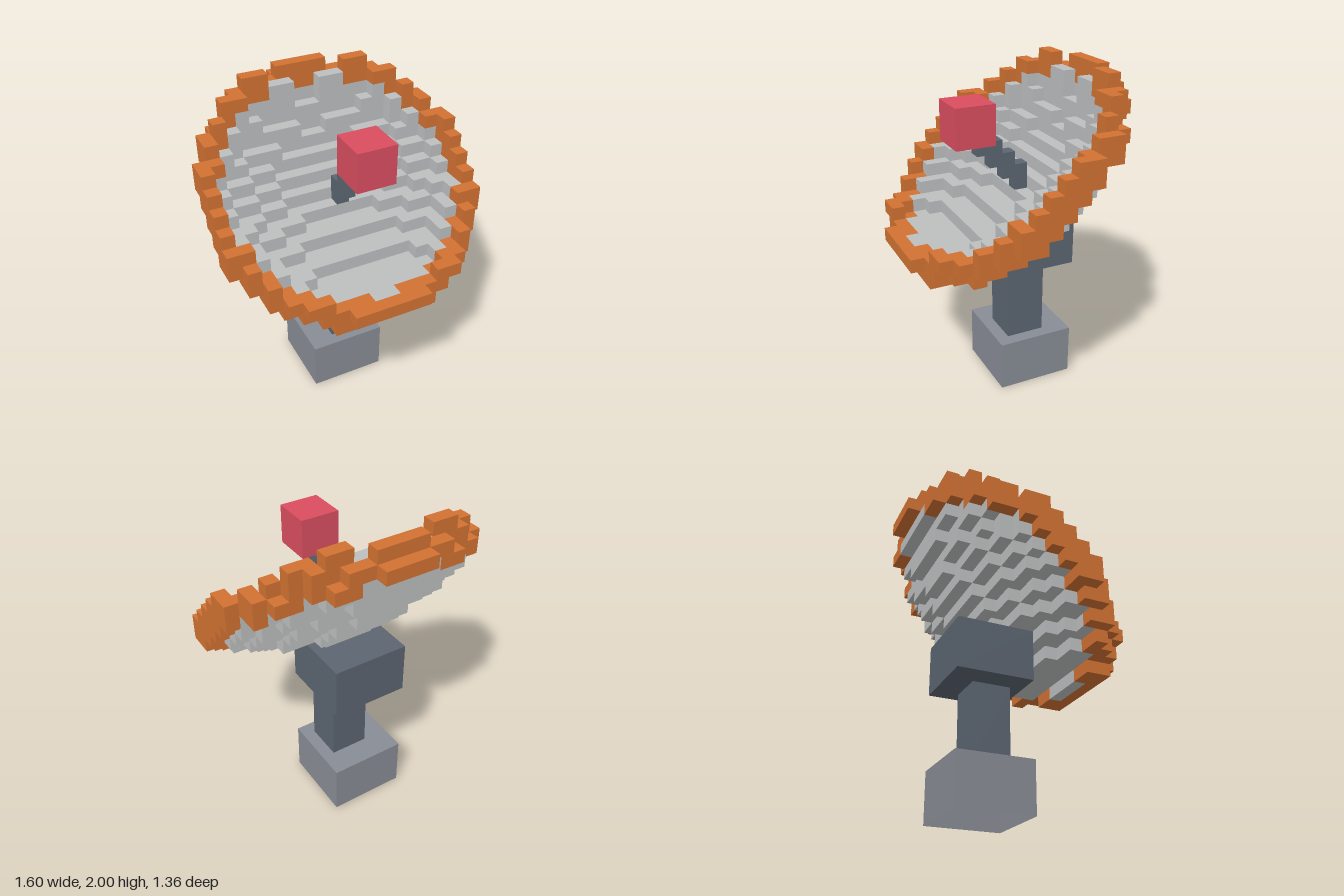
import * as THREE from 'three';
import { mergeGeometries } from 'three/addons/utils/BufferGeometryUtils.js';

const V = 0.08; // edge of one cube cell
const material = (name, color) => {
  const m = new THREE.MeshStandardMaterial({ color });
  m.name = name;
  return m;
};

// Axis-aligned block from its lower and upper bounds
function block([x0, x1], [y0, y1], [z0, z1]) {
  return new THREE.BoxGeometry(x1 - x0, y1 - y0, z1 - z0)
    .translate((x0 + x1) / 2, (y0 + y1) / 2, (z0 + z1) / 2);
}

// Narrow rows at the upper and lower ends of the ring: z row -> half width
const ROW_LIMIT = { '8': 3, '-7': 5, '-6': 6 };

// Decides what fills a cell, measured in cells from the dish centre:
// a tilted paraboloid shell with a thick ring around its edge
function dishCell(x, y, z) {
  const u = 0.64 * y - 0.77 * z;  // up the slope of the dish
  const d = 0.77 * y + 0.64 * z;  // along the dish axis
  const r = Math.hypot(x, u + 0.25);
  const ax = Math.abs(x);
  if (ax > (ROW_LIMIT[z] ?? 10) || (y === -6.5 && ax > 4)) return null;
  // small notches at the top of the ring
  if (y === 6.5 && (ax === 2.5 || (z === -6 && ax < 3))) return null;
  if (y === 5.5 && z === -6 && ax > 1 && ax < 3) return 'dish';
  // cells taken by the head block
  if (ax < 3 && y < -4 && z <= 1) return null;
  // ring
  if (Math.hypot(x, u + 0.1) > 8.9) {
    const low = -0.45 - 0.085 * Math.abs(u);
    const high = Math.max(1.02, 1.2 + 0.055 * u);
    return r < 10.2 && u > -9.9 && d > low && d < high ? 'rim' : null;
  }
  // shell, thicker towards the ring
  const offset = d + 2.9 - 0.029 * r * r;
  return offset > -0.55 && offset < 0.66 + 0.3 * Math.max(0, r - 7.5) ? 'dish' : null;
}

// Collects runs of equal cells along x into long blocks
function buildDish() {
  const parts = { dish: [], rim: [] };
  for (let y = -7.5; y <= 7.5; y++) {
    for (let z = -9; z <= 9; z++) {
      let kind = null, start = 0;
      for (let x = -10.5; x <= 11.5; x++) {
        const next = dishCell(x, y, z);
        if (next === kind) continue;
        if (kind) {
          parts[kind].push(block(
            [(start - 0.5) * V, (x - 0.5) * V],
            [1.44 + (y - 0.5) * V, 1.44 + (y + 0.5) * V],
            [(z - 0.5) * V, (z + 0.5) * V]));
        }
        kind = next;
        start = x;
      }
    }
  }
  return parts;
}

export function createModel() {
  const group = new THREE.Group();
  const stone = material('base grey', 0x888c95);
  stone.side = THREE.DoubleSide;
  const slate = material('slate', 0x5b6571);
  const pale = material('dish grey', 0xbdbfc0);
  const orange = material('rim orange', 0xd27232);
  const red = material('receiver red', 0xda4e60);

  const add = (name, geometry, mat) => {
    const mesh = new THREE.Mesh(geometry, mat);
    mesh.name = name;
    group.add(mesh);
  };

  // Stand: the base is a hollow box, open underneath
  const base = block([-0.24, 0.24], [0, 0.32], [-0.36, 0.12]);
  base.setIndex([...base.index.array].filter((_, i) => i < 18 || i >= 24));
  base.clearGroups();
  add('base', base, stone);
  add('column', block([-0.08, 0.16], [0.32, 0.8], [-0.2, 0.04]), slate);
  add('head', block([-0.24, 0.24], [0.8, 1.12], [-0.36, 0.12]), slate);

  // Dish and its ring
  const { dish, rim } = buildDish();
  add('dish', mergeGeometries(dish), pale);
  add('dishRim', mergeGeometries(rim), orange);

  // Stepped arm carrying the receiver
  const steps = [];
  for (let k = 0; k < 4; k++) {
    steps.push(block([0, V], [1.28 + k * V, 1.36 + k * V],
      [Math.max(-0.12, -0.2 + k * V), -0.04 + k * V]));
  }
  add('receiverArm', mergeGeometries(steps), slate);
  add('receiver', block([-0.08, 0.16], [1.6, 1.84], [0.12, 0.36]), red);

  return group;
}
